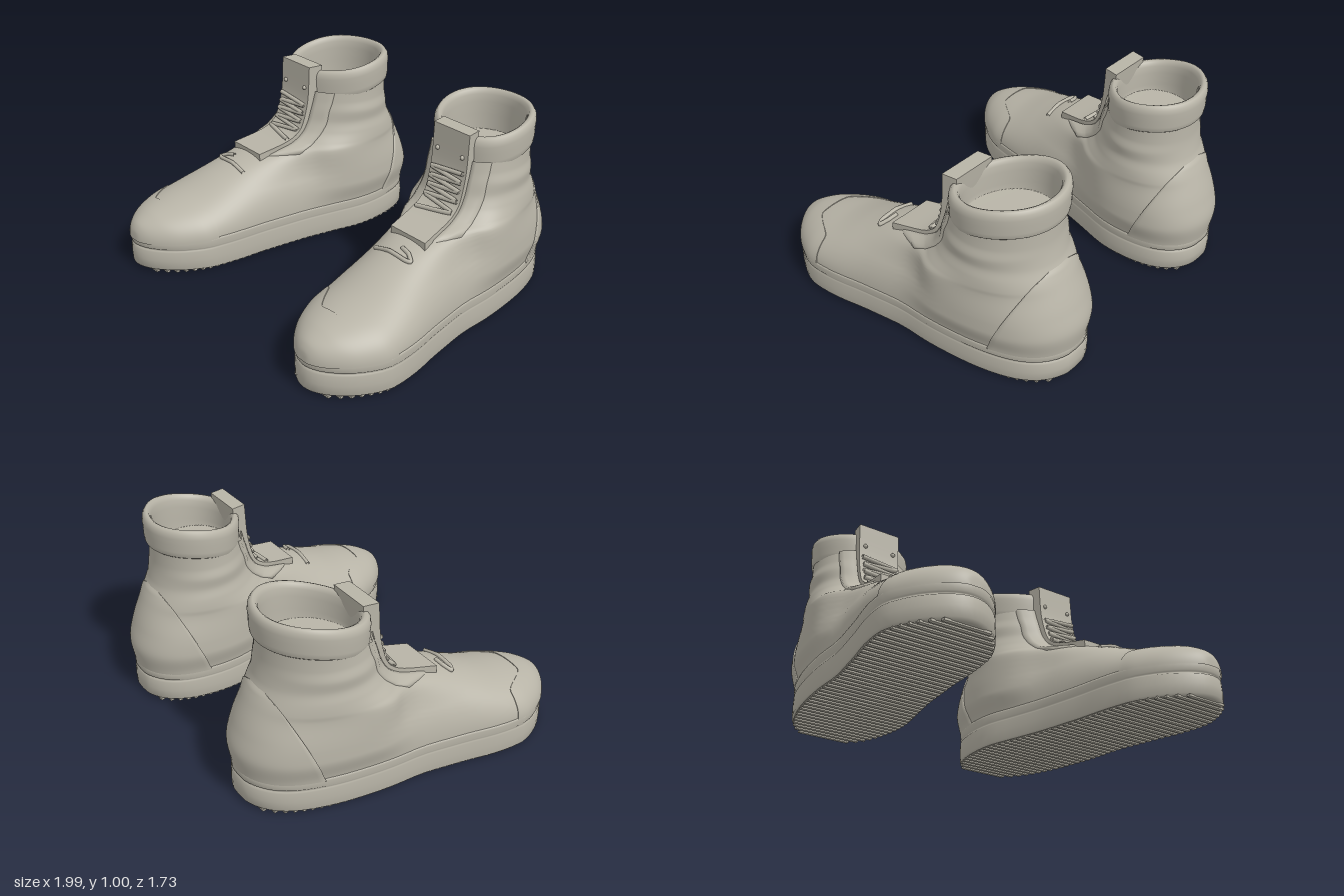
import * as THREE from 'three';
import { mergeGeometries, toCreasedNormals } from 'three/addons/utils/BufferGeometryUtils.js';

const { smoothstep, lerp } = THREE.MathUtils;
const V = (x, y, z) => new THREE.Vector3(x, y, z);
const steps = (n, f) => Array.from({ length: n + 1 }, (_, i) => f(i / n, i));

// Smooth monotone curve through [input, output] pairs
function curve(p) {
  const s = p.slice(1).map((q, i) => (q[1] - p[i][1]) / (q[0] - p[i][0]));
  const m = p.map((_, i) => {
    const a = s[Math.max(i - 1, 0)], b = s[Math.min(i, s.length - 1)];
    return a * b <= 0 ? 0 : 2 * a * b / (a + b);
  });
  return v => {
    if (v <= p[0][0]) return p[0][1];
    if (v >= p[p.length - 1][0]) return p[p.length - 1][1];
    let i = 0;
    while (v > p[i + 1][0]) i++;
    const d = p[i + 1][0] - p[i][0], t = (v - p[i][0]) / d, t2 = t * t, t3 = t2 * t;
    return (2 * t3 - 3 * t2 + 1) * p[i][1] + (t3 - 2 * t2 + t) * d * m[i]
      + (3 * t2 - 2 * t3) * p[i + 1][1] + (t3 - t2) * d * m[i + 1];
  };
}

// Largest value between lo and hi for which the test still holds
function bisect(lo, hi, test) {
  for (let i = 0; i < 32; i++) {
    const mid = (lo + hi) / 2;
    if (test(mid)) lo = mid; else hi = mid;
  }
  return lo;
}

// Grid surface from rows of points
function grid(rows, wrap) {
  const n = rows[0].length, idx = [];
  for (let i = 0; i < rows.length - 1; i++) {
    for (let j = 0; j < (wrap ? n : n - 1); j++) {
      const k = (j + 1) % n, a = i * n + j, b = i * n + k, c = b + n, d = a + n;
      idx.push(a, b, c, a, c, d);
    }
  }
  const g = new THREE.BufferGeometry().setFromPoints(rows.flat());
  g.setIndex(idx);
  g.computeVertexNormals();
  return g;
}

// Plan of the sole: centre line and half width along z
const L = 0.855, Y0 = 0.17;
const centre = curve([[-0.86, 0.527], [-0.6, 0.545], [-0.4, 0.565], [-0.2, 0.6], [0, 0.627],
  [0.2, 0.66], [0.4, 0.692], [0.55, 0.71], [0.86, 0.724]]);
const fullness = curve([[-0.86, 0.46], [-0.6, 0.38], [-0.4, 0.34], [-0.2, 0.3], [0, 0.276],
  [0.2, 0.288], [0.4, 0.33], [0.5, 0.357], [0.6, 0.382], [0.7, 0.383], [0.86, 0.35]]);
const soleHalf = z => fullness(z) * Math.sqrt(Math.max(0, 1 - (z / L) ** 2));

// Side profile of the upper: front edge, back edge and ankle radius by height
const front = curve([[Y0, 0.852], [0.21, 0.849], [0.25, 0.832], [0.3, 0.76], [0.33, 0.67], [0.37, 0.51],
  [0.43, 0.35], [0.48, 0.22], [0.515, 0.1], [0.545, -0.04], [0.6, -0.125], [0.7, -0.17],
  [0.8, -0.198], [0.9, -0.225], [1.2, -0.3], [1.8, -0.55]]);
const back = curve([[Y0, -0.845], [0.28, -0.86], [0.4, -0.83], [0.55, -0.77], [0.65, -0.725],
  [0.76, -0.705], [0.9, -0.7]]);
const ankle = curve([[0.4, 0.32], [0.5, 0.308], [0.6, 0.29], [0.66, 0.277], [0.71, 0.281], [0.77, 0.268], [0.9, 0.26]]);
const height = z => bisect(Y0, 1.8, y => front(y) >= z) + 1e-6;

// Half width of the upper at a point: arched over the foot, oval round the ankle
function halfWidth(z, y) {
  const zb = back(y), zf = front(y);
  const arch = Math.sqrt(Math.max(0, 1 - ((y - Y0) / (height(z) - Y0)) ** 2.1));
  const bulge = 1 + 0.09 * smoothstep(y, Y0, 0.3) * smoothstep(-z, 0, 0.3);
  const foot = soleHalf(z < 0 ? -z * L / zb : z) * 0.985 * bulge * arch;
  const u = (2 * z - zf - zb) / (zf - zb);
  return lerp(foot, ankle(y) * Math.sqrt(Math.max(0, 1 - u * u)), smoothstep(y, 0.36, 0.66));
}
const frontAt = (y, dx) => -bisect(-front(y), -front(y) + 0.4, v => halfWidth(-v, y) < dx);
const topAt = (z, dx) => bisect(Y0, height(z), y => halfWidth(z, y) > dx);

// Closed ring from zb to zf with a half width by z
const ring = (zb, zf, width, y, n = 80) => steps(n - 1, (_, j) => {
  const a = j / n * Math.PI * 2, z = (zf + zb) / 2 + (zf - zb) / 2 * Math.cos(a);
  const side = Math.abs(Math.sin(a)) < 1e-9 ? 0 : Math.sign(Math.sin(a));
  return V(centre(z) + side * width(z), y, z);
});

function upper() {
  return grid(steps(120, t => {
    const y = lerp(Y0, 0.88, t);
    return ring(back(y), front(y), z => halfWidth(z, y), y);
  }), true);
}

// Two-band sole wall, with a groove between the bands
function sole() {
  const rows = [[0.008, 0.01], [0.008, 0.975], [0.008, 0.975], [0.018, 1], [0.07, 1.003], [0.122, 1], [0.128, 0.986],
    [0.136, 0.986], [0.142, 0.998], [0.175, 1], [0.186, 0.992], [0.188, 0.95], [0.188, 0.9]];
  return grid(rows.map(([y, k]) => ring(-0.852 * k, L * k, z => soleHalf(z / k) * k, y)), true);
}

function tread() {
  return mergeGeometries(steps(40, t => {
    const z = lerp(-0.8, 0.8, t);
    return new THREE.BoxGeometry(soleHalf(z) * 1.9, 0.012, 0.02).translate(centre(z), 0.006, z);
  }));
}

// Padded collar rolling over into the shoe and down to the insole
function collar() {
  const rows = [[0.85, 0.9], [0.845, 0.97], [0.852, 1], [0.88, 1.015], [0.92, 1.015], [0.955, 1.025], [0.98, 1.01],
    [0.996, 0.97], [1, 0.92], [0.992, 0.87], [0.97, 0.835], [0.93, 0.82], [0.86, 0.815], [0.78, 0.81], [0.775, 0.8], [0.775, 0.01]];
  const mid = -0.465, rz = 0.257;
  return grid(rows.map(([y, k]) => {
    const r = ring(mid - rz * k, mid + rz * k,
      z => 0.268 * k * Math.sqrt(Math.max(0, 1 - ((z - mid) / (rz * k)) ** 2)), y);
    if (y > 0.8) r.forEach(p => { p.y -= 0.06 * smoothstep(p.z, -0.66, -0.2); });
    return r;
  }), true);
}

// Raised toe cap with a U-shaped rear edge
function toeCap() {
  const rows = [0, 0, ...steps(24, t => Math.sin(t * Math.PI / 2))];
  return grid(rows.map((t, i) => steps(48, s => {
    const a = s * Math.PI, cos = Math.cos(a), lift = i === 0 ? 0.97 : 1.025;
    const edge = 0.51 + 0.15 * (1 - smoothstep(Math.abs(cos), 0.35, 0.75));
    const z = lerp(edge, 0.852, t), h = height(z) - Y0;
    return V(centre(z) - cos * soleHalf(z) * 0.985 * (i === 0 ? 0.98 : 1.012),
      Y0 + h * lift * Math.pow(Math.sin(a) + 1e-9, 2 / 2.1), z + 0.008 * t);
  })));
}

// Heel panel, narrowing towards its top
function heelPanel() {
  return grid(steps(30, t => {
    const y = lerp(0.175, 0.625, t), zb = back(y);
    const edge = Math.max(zb + 0.003, lerp(-0.55, -0.735, t));
    return steps(42, (_, j) => {
      const s = THREE.MathUtils.clamp((j - 21) / 20, -1, 1), z = lerp(zb, edge, s * s);
      const off = j === 0 || j === 42 || t === 1 ? -0.006 : 0.008;
      return V(centre(z) + Math.sign(s) * (halfWidth(z, y) + off * Math.abs(s)), y, z - off * (1 - s * s));
    });
  }));
}

// Facing strip beside the tongue
function facing(side) {
  const across = [0.114, 0.116, 0.135, 0.155, 0.175, 0.194, 0.197];
  return grid(steps(30, (t, i) => {
    const y = lerp(0.5, 0.82, t);
    return across.map((dx, j) => {
      const off = j === 0 || j === 6 || i === 0 ? -0.3 : 1, z = frontAt(y, dx);
      return V(centre(z) + side * (dx + 0.006 * off), y + 0.006 * off, z + 0.012 * off);
    });
  }));
}

// Tongue slab, bent from the instep up the shin
const tongueZ = curve([[0.525, 0.14], [0.56, -0.03], [0.58, -0.08], [0.62, -0.125], [0.7, -0.155], [0.8, -0.175], [0.97, -0.185]]);
function tongue() {
  const face = steps(24, t => {
    const y = lerp(0.525, 0.97, t * t);
    return new THREE.Vector2(tongueZ(y), y);
  });
  const rear = [[-0.265, 0.97], [-0.25, 0.8], [-0.22, 0.65], [-0.12, 0.53], [0, 0.5], [0.14, 0.47]];
  const shape = new THREE.Shape([...face, ...rear.map(p => new THREE.Vector2(...p))]);
  const g = new THREE.ExtrudeGeometry(shape, { depth: 0.236, bevelEnabled: false });
  g.rotateY(-Math.PI / 2).translate(0.118, 0, 0);
  const p = g.attributes.position;
  for (let i = 0; i < p.count; i++) p.setX(i, p.getX(i) + centre(p.getZ(i)));
  return toCreasedNormals(g, 0.6);
}

const cord = (pts, r) => new THREE.TubeGeometry(new THREE.CatmullRomCurve3(pts, false, 'catmullrom', 0.25), 120, r, 8);
function laces() {
  return cord(steps(9, (_, i) => {
    const y = 0.77 - i * 0.0225, z = tongueZ(y);
    return V(centre(z) + (i % 2 ? -1 : 1) * 0.105, y, z + 0.01);
  }), 0.012);
}
function laceEnd() {
  const path = [[0.54, 0.25], [0.64, 0.252], [0.74, 0.25], [0.77, 0.235], [0.73, 0.212], [0.68, 0.205]];
  return cord(path.map(([x, z]) => V(x, topAt(z, Math.abs(x - centre(z))) + 0.006, z)), 0.011);
}
const rivet = side => new THREE.SphereGeometry(0.012, 12, 8).translate(centre(-0.18) + side * 0.083, 0.845, -0.177);

// Reflected copy with its corners put back in order
function mirrored(source) {
  const g = source.clone().scale(-1, 1, 1);
  const idx = g.index ? Array.from(g.index.array) : steps(g.attributes.position.count - 1, (_, i) => i);
  for (let i = 0; i < idx.length; i += 3) [idx[i + 1], idx[i + 2]] = [idx[i + 2], idx[i + 1]];
  g.setIndex(idx);
  return g;
}

export function createModel() {
  const material = new THREE.MeshStandardMaterial({ color: 0xb8b4a7, side: THREE.DoubleSide });
  material.name = 'warm grey';
  const parts = {
    upper: upper(), sole: sole(), tread: tread(), collar: collar(), toeCap: toeCap(), heelPanel: heelPanel(),
    innerFacing: facing(-1), outerFacing: facing(1), tongue: tongue(), laces: laces(), laceEnd: laceEnd(),
    innerRivet: rivet(-1), outerRivet: rivet(1),
  };
  const model = new THREE.Group();
  model.name = 'pairOfBoots';
  for (const side of ['left', 'right']) {
    const boot = new THREE.Group();
    boot.name = side + 'Boot';
    for (const [name, geometry] of Object.entries(parts)) {
      const mesh = new THREE.Mesh(side === 'left' ? geometry : mirrored(geometry), material);
      mesh.name = name;
      boot.add(mesh);
    }
    model.add(boot);
  }
  return model;
}
